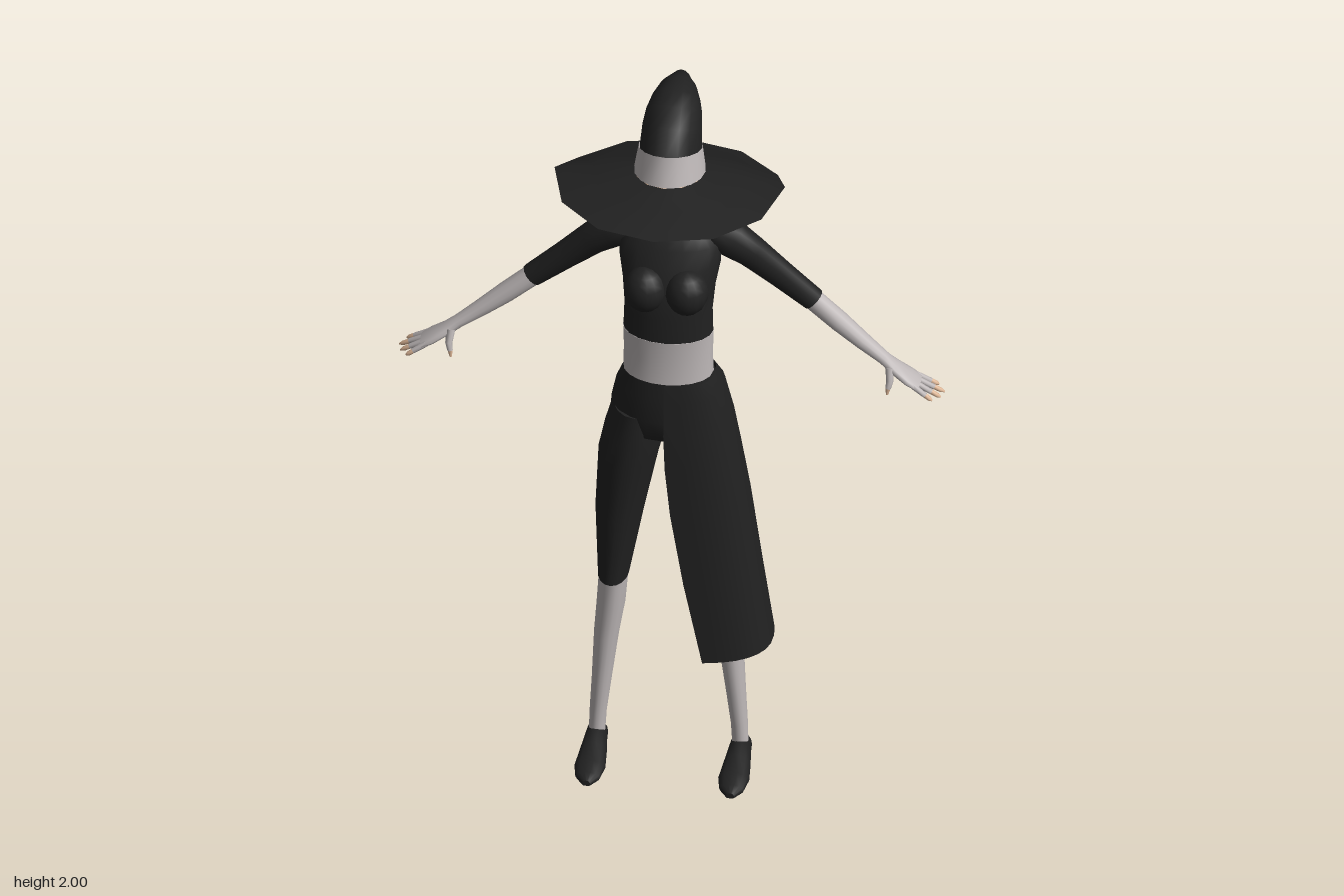
import * as THREE from 'three';

const V = (x, y, z) => new THREE.Vector3(x, y, z);
const mat = (name, color) => {
  const m = new THREE.MeshStandardMaterial({ color, side: THREE.DoubleSide });
  m.name = name;
  return m;
};

// Skin a list of point rings; closed rings wrap round, caps get their own vertices
function loft(rings, { closed = true, caps = true } = {}) {
  const n = rings[0].length, pos = [], idx = [], mid = V(0, 0, 0);
  rings.forEach(r => r.forEach(p => { pos.push(p.x, p.y, p.z); mid.add(p); }));
  mid.divideScalar(n * rings.length);
  for (let i = 0; i < rings.length - 1; i++)
    for (let j = 0; j < (closed ? n : n - 1); j++) {
      const k = (j + 1) % n, a = i * n + j, b = i * n + k;
      idx.push(a, b, a + n, b, b + n, a + n);
    }
  if (closed && caps) [rings[0], rings[rings.length - 1]].forEach((r, end) => {
    const start = pos.length / 3, c = V(0, 0, 0);
    r.forEach(p => { pos.push(p.x, p.y, p.z); c.add(p); });
    c.divideScalar(n);
    pos.push(c.x, c.y, c.z);
    for (let j = 0; j < n; j++) {
      const a = start + j, b = start + (j + 1) % n;
      if (end) idx.push(a, b, start + n); else idx.push(b, a, start + n);
    }
  });
  // Turn the faces outward
  const at = i => V(pos[3 * i], pos[3 * i + 1], pos[3 * i + 2]).sub(mid);
  let vol = 0;
  for (let i = 0; i < idx.length; i += 3) vol += at(idx[i]).dot(at(idx[i + 1]).cross(at(idx[i + 2])));
  if (vol < 0) idx.reverse();
  const g = new THREE.BufferGeometry();
  g.setAttribute('position', new THREE.Float32BufferAttribute(pos, 3));
  g.setIndex(idx);
  g.computeVertexNormals();
  return g;
}

const ring = (c, u, v, n) => Array.from({ length: n }, (_, i) => {
  const a = i / n * Math.PI * 2;
  return c.clone().addScaledVector(u, Math.cos(a)).addScaledVector(v, Math.sin(a));
});

// Level rings from [y, xMin, xMax, zFront, zBack]
const level = (rows, n = 16) => rows.map(([y, x0, x1, zf, zb]) =>
  ring(V((x0 + x1) / 2, y, (zf + zb) / 2), V((x1 - x0) / 2, 0, 0), V(0, 0, (zf - zb) / 2), n));
const centred = rows => level(rows.map(([y, rx, zf, zb]) => [y, -rx, rx, zf, zb]), 20);

// Rings across a path of [x, y, z, thickness, width in z]
const limb = (rows, s, n = 12) => {
  const p = rows.map(r => V(r[0] * s, r[1], r[2]));
  return rows.map((r, i) => {
    const t = p[Math.min(i + 1, p.length - 1)].clone().sub(p[Math.max(i - 1, 0)]).normalize();
    const u = t.clone().cross(V(0, 0, 1)).normalize();
    return ring(p[i], u.clone().multiplyScalar(r[3]), u.clone().cross(t).multiplyScalar(r[4]), n);
  });
};

export function createModel() {
  const model = new THREE.Group();
  model.name = 'witchFigure';
  const black = mat('blackCloth', 0x212121);
  const grey = mat('greyCloth', 0xbeb8b8);
  const skin = mat('skin', 0xdfb898);
  const add = (name, geo, m) => {
    const mesh = new THREE.Mesh(geo, m);
    mesh.name = name;
    model.add(mesh);
    return mesh;
  };
  const ball = (name, m, p, s) => {
    const b = add(name, new THREE.SphereGeometry(1, 14, 10), m);
    b.position.set(...p);
    b.scale.set(...s);
  };

  // Torso with high collar, bare band at the waist, hips
  add('top', loft(centred([
    [1.33, 0.113, 0.096, -0.05], [1.40, 0.111, 0.096, -0.055], [1.47, 0.117, 0.09, -0.07],
    [1.53, 0.128, 0.068, -0.083], [1.58, 0.128, 0.045, -0.085], [1.61, 0.105, 0.028, -0.078],
    [1.63, 0.06, 0.015, -0.068], [1.65, 0.038, 0.01, -0.06], [1.70, 0.035, 0.008, -0.057]])), black);
  add('waistBand', loft(centred([
    [1.20, 0.114, 0.097, -0.056], [1.26, 0.112, 0.095, -0.048], [1.33, 0.114, 0.097, -0.051]])), grey);
  add('hips', loft(centred([
    [1.205, 0.113, 0.096, -0.055], [1.15, 0.133, 0.1, -0.088], [1.08, 0.147, 0.103, -0.108],
    [1.02, 0.15, 0.095, -0.108], [0.98, 0.07, 0.04, -0.06]])), black);

  // Head and neck
  add('head', loft(centred([
    [1.683, 0.022, 0.1, 0.06], [1.695, 0.042, 0.111, 0.02], [1.72, 0.06, 0.115, -0.035],
    [1.75, 0.074, 0.117, -0.06], [1.79, 0.081, 0.113, -0.068], [1.82, 0.08, 0.095, -0.07],
    [1.87, 0.055, 0.06, -0.06]])), skin);
  add('neck', loft(centred([[1.69, 0.033, 0.006, -0.055], [1.76, 0.036, 0.01, -0.058]])), skin);
  ball('nose', skin, [0, 1.752, 0.115], [0.009, 0.014, 0.011]);

  for (const s of [1, -1]) {
    const side = s > 0 ? 'left' : 'right';
    const x = rows => rows.map(([y, a, b, zf, zb]) => [y, a * s, b * s, zf, zb]);
    ball(side + 'Ear', skin, [s * 0.079, 1.765, -0.012], [0.008, 0.024, 0.014]);
    ball(side + 'Bust', black, [s * 0.052, 1.475, 0.064], [0.055, 0.062, 0.057]);

    // Arm
    add(side + 'Sleeve', loft(limb([
      [0.08, 1.61, -0.035, 0.022, 0.03], [0.115, 1.595, -0.037, 0.043, 0.043], [0.15, 1.575, -0.04, 0.05, 0.045],
      [0.2, 1.535, -0.045, 0.043, 0.037], [0.27, 1.468, -0.053, 0.037, 0.03],
      [0.355, 1.392, -0.056, 0.031, 0.027]], s)), black);
    add(side + 'Forearm', loft(limb([
      [0.345, 1.4, -0.056, 0.028, 0.025], [0.42, 1.335, -0.05, 0.026, 0.027],
      [0.48, 1.288, -0.04, 0.021, 0.024], [0.535, 1.248, -0.03, 0.016, 0.02],
      [0.565, 1.226, -0.024, 0.015, 0.028], [0.6, 1.203, -0.02, 0.013, 0.036],
      [0.625, 1.187, -0.02, 0.009, 0.035]], s)), grey);
    // Fingers: gloved root, bare tip
    [[0.67, 1.158, -0.058], [0.686, 1.15, -0.04], [0.68, 1.152, -0.014], [0.662, 1.16, 0.014]].forEach((tip, i) => {
      const root = [0.612, 1.195, -0.045 + i * 0.017];
      const at = (k, r) => [...tip.map((t, j) => root[j] + (t - root[j]) * k), r, r];
      add(side + 'Finger' + (i + 1), loft(limb([at(0, 0.008), at(0.65, 0.007)], s, 7)), grey);
      add(side + 'Fingertip' + (i + 1), loft(limb([at(0.63, 0.0065), at(0.88, 0.006), at(1, 0.002)], s, 7)), skin);
    });
    add(side + 'Thumb', loft(limb([
      [0.552, 1.235, -0.008, 0.011, 0.011], [0.555, 1.205, 0.008, 0.009, 0.008],
      [0.551, 1.185, 0.013, 0.007, 0.006]], s, 8)), grey);
    add(side + 'ThumbTip', loft(limb([
      [0.551, 1.186, 0.013, 0.0065, 0.0055], [0.549, 1.168, 0.015, 0.003, 0.003]], s, 8)), skin);

    // Leg
    add(side + 'TrouserLeg', loft(level(x([
      [1.08, 0.01, 0.142, 0.09, -0.1], [1.0, 0.008, 0.163, 0.1, -0.11], [0.92, 0.028, 0.179, 0.1, -0.1],
      [0.75, 0.062, 0.185, 0.095, -0.072], [0.54, 0.1, 0.177, 0.082, -0.042]]))), black);
    add(side + 'Stocking', loft(level(x([
      [0.56, 0.1, 0.174, 0.079, -0.037], [0.45, 0.109, 0.181, 0.069, -0.035], [0.35, 0.125, 0.188, 0.06, -0.028],
      [0.2, 0.144, 0.194, 0.05, -0.018], [0.1, 0.156, 0.199, 0.043, -0.009], [0.03, 0.16, 0.201, 0.042, -0.004]]))), grey);
    // Pointed flat shoe, cross-sections along z
    add(side + 'Shoe', loft([
      [-0.01, 0.018, 0.045], [0.0, 0.026, 0.052], [0.04, 0.029, 0.055], [0.08, 0.034, 0.043],
      [0.14, 0.039, 0.031], [0.18, 0.031, 0.024], [0.205, 0.01, 0.016]].map(([z, w, h]) =>
      ring(V(s * 0.181, h * 0.35, z), V(w, 0, 0), V(0, h * 0.65, 0), 14).map(p => p.setY(Math.max(p.y, 0))))), black);
  }

  // Half skirt wrapped round the left leg: [y, inner x, outer x, front z, back z]
  add('halfSkirt', loft([
    [1.2, 0, 0.118, 0.1, -0.062], [1.15, 0, 0.139, 0.107, -0.095], [1.05, 0, 0.16, 0.115, -0.117],
    [0.95, 0.004, 0.178, 0.119, -0.12], [0.81, 0.018, 0.202, 0.122, -0.118],
    [0.6, 0.052, 0.232, 0.127, -0.108], [0.36, 0.1, 0.265, 0.131, -0.096]
  ].map(([y, xi, xo, zf, zb]) => Array.from({ length: 15 }, (_, i) => {
    const t = i / 14 * Math.PI, c = Math.cos(t), sn = Math.max(Math.sin(t), 0) ** 0.8;
    return V(xi + (xo - xi) * sn, y + (y < 0.5 ? 0.02 * sn : 0),
      (zf + zb) / 2 + (zf - zb) / 2 * Math.sign(c) * Math.abs(c) ** 0.8);
  })), { closed: false }), black);

  // Hat rings: [front z, front y, back z, back y, half width]
  const hat = rows => rows.map(([fz, fy, bz, by, rx]) =>
    ring(V(0, (fy + by) / 2, (fz + bz) / 2), V(rx, 0, 0), V(0, (fy - by) / 2, (fz - bz) / 2), 16));
  add('hatBand', loft(hat([[0.103, 1.825, -0.112, 1.787, 0.09], [0.084, 1.907, -0.122, 1.83, 0.08]]), { caps: false }), grey);
  add('hatCone', loft(hat([
    [0.08, 1.902, -0.12, 1.827, 0.078], [0.037, 1.96, -0.128, 1.858, 0.075], [-0.02, 1.988, -0.138, 1.878, 0.07],
    [-0.075, 2.0, -0.15, 1.888, 0.061], [-0.145, 1.99, -0.172, 1.9, 0.046],
    [-0.21, 1.96, -0.198, 1.888, 0.026], [-0.25, 1.872, -0.247, 1.868, 0.003]])), black);

  // Twelve-sided brim, level in front and drooping behind; heights run front to back
  const midY = [1.815, 1.81, 1.805, 1.8, 1.77, 1.735, 1.715];
  const rimY = [1.8, 1.795, 1.787, 1.782, 1.705, 1.686, 1.68];
  const brim = (rx, rz, height) => Array.from({ length: 12 }, (_, i) => {
    const a = i * Math.PI / 6;
    return V(rx * Math.sin(a), height(Math.min(i, 12 - i), Math.cos(a)), rz * Math.cos(a));
  });
  add('hatBrim', loft([
    brim(0.088, 0.106, (i, c) => 1.807 + 0.019 * c),
    brim(0.19, 0.19, i => midY[i]),
    brim(0.29, 0.29, i => rimY[i])], { caps: false }), black);

  return model;
}
